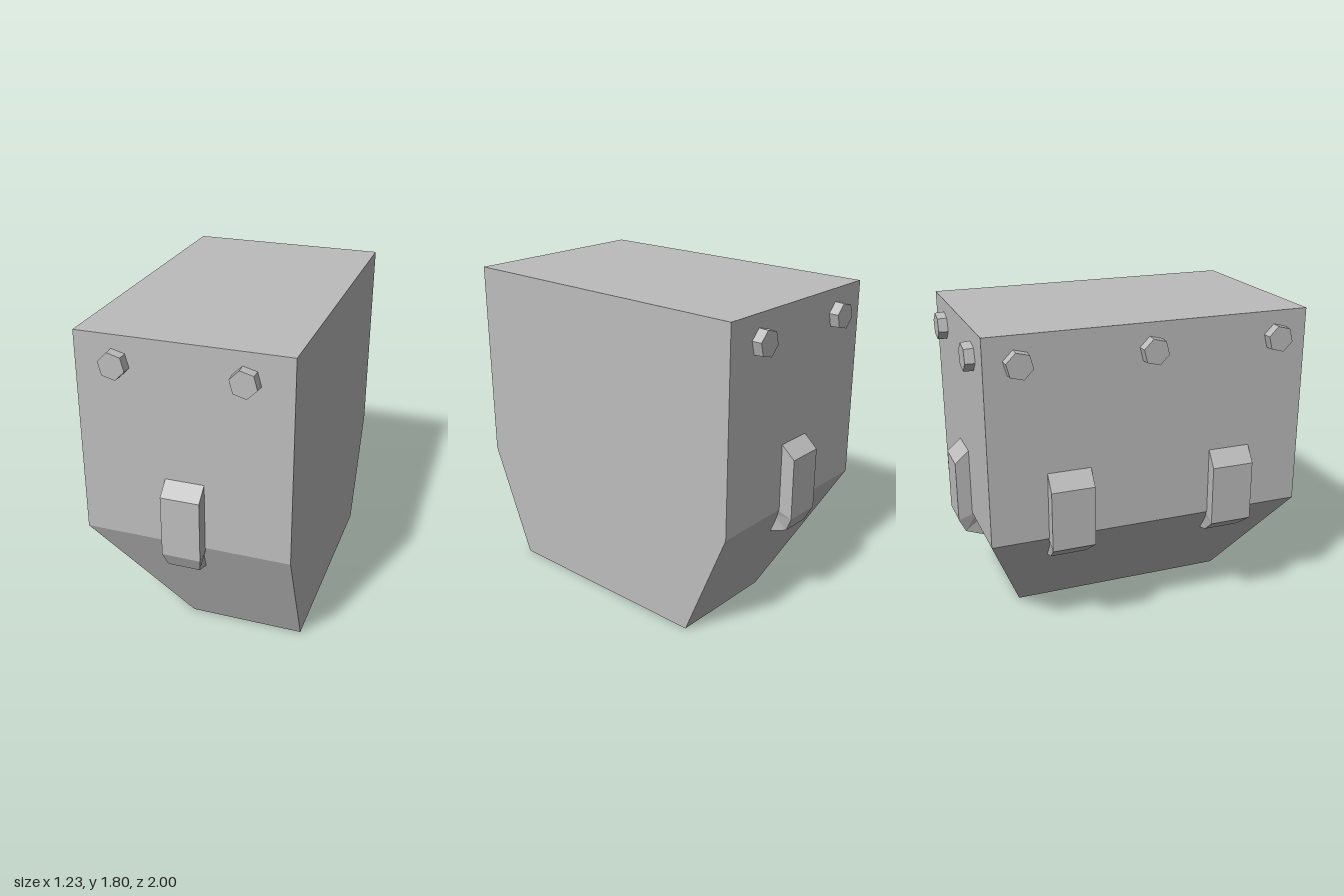
import * as THREE from 'three';

// Closed, flat-faced solid through four-cornered rings, listed bottom to top
function loft(rings) {
  const pos = [];
  const quad = (a, b, c, d) => pos.push(...a, ...b, ...c, ...a, ...c, ...d);
  for (let i = 0; i < rings.length - 1; i++) {
    const lo = rings[i], hi = rings[i + 1];
    for (let j = 0; j < 4; j++) {
      const k = (j + 1) % 4;
      quad(lo[j], lo[k], hi[k], hi[j]);
    }
  }
  const bottom = rings[0], top = rings[rings.length - 1];
  quad(bottom[3], bottom[2], bottom[1], bottom[0]);
  quad(...top);
  const geo = new THREE.BufferGeometry();
  geo.setAttribute('position', new THREE.Float32BufferAttribute(pos, 3));
  geo.computeVertexNormals();
  return geo;
}

// Level rectangle for the body
const rect = (y, x0, x1, z) => [[x0, y, z], [x1, y, z], [x1, y, -z], [x0, y, -z]];

// Bracket ring: outer edge (y, z), inner edge sunk into the wall (yi, zi), half width w
const band = ([y, z, yi, zi, w]) => [[-w, y, z], [w, y, z], [w, yi, zi], [-w, yi, zi]];

export function createModel() {
  const model = new THREE.Group();
  const grey = new THREE.MeshStandardMaterial({ color: 0xbcbcbc, flatShading: true });
  grey.name = 'plain grey';

  function add(name, geometry, x, y, z, turn = 0) {
    const mesh = new THREE.Mesh(geometry, grey);
    mesh.name = name;
    mesh.position.set(x, y, z);
    mesh.rotation.y = turn;
    model.add(mesh);
  }

  // Block with a tapered foot; the +x side stays upright
  add('body', loft([
    rect(0, -0.04, 0.61, 0.655),
    rect(0.645, -0.55, 0.61, 0.92),
    rect(1.8, -0.55, 0.61, 0.92),
  ]), 0, 0, 0);

  // Brackets wrapping the crease, built facing +z with the wall at z = 0
  const endBracket = loft([
    [0.483, -0.066, 0.55, -0.1, 0.086],
    [0.525, 0.04, 0.6, -0.06, 0.09],
    [0.61, 0.08, 0.645, -0.03, 0.108],
    [0.96, 0.08, 0.96, -0.03, 0.108],
    [1.03, 0, 1.03, -0.03, 0.108],
  ].map(band));
  const sideBracket = loft([
    [0.483, -0.128, 0.55, -0.18, 0.1],
    [0.507, -0.05, 0.6, -0.1, 0.104],
    [0.595, 0.065, 0.645, -0.03, 0.123],
    [0.94, 0.065, 0.94, -0.03, 0.123],
    [1.03, 0, 1.03, -0.03, 0.123],
  ].map(band));

  // Hexagonal bolt head, axis along +z, slightly tapered and turned
  const bolt = new THREE.CylinderGeometry(0.075, 0.079, 0.075, 6);
  bolt.rotateX(Math.PI / 2);
  // Cylinder corners start on the vertical axis; this puts one at -15 degrees
  bolt.rotateZ(Math.PI / 12);
  bolt.translate(0, 0, 0.0165);

  // Both ends: one bracket and two bolts each
  for (const [end, s, turn] of [['front', 1, 0], ['back', -1, Math.PI]]) {
    add(end + 'Bracket', endBracket, 0.03, 0, s * 0.92, turn);
    for (const x of [-0.325, 0.365]) add(end + 'Bolt', bolt, x, 1.65, s * 0.92, turn);
  }

  // Right side (-x): two brackets and three bolts
  for (const z of [-0.476, 0.476]) add('sideBracket', sideBracket, -0.55, 0, z, -Math.PI / 2);
  for (const z of [-0.74, 0, 0.74]) add('sideBolt', bolt, -0.55, 1.65, z, -Math.PI / 2);

  return model;
}
